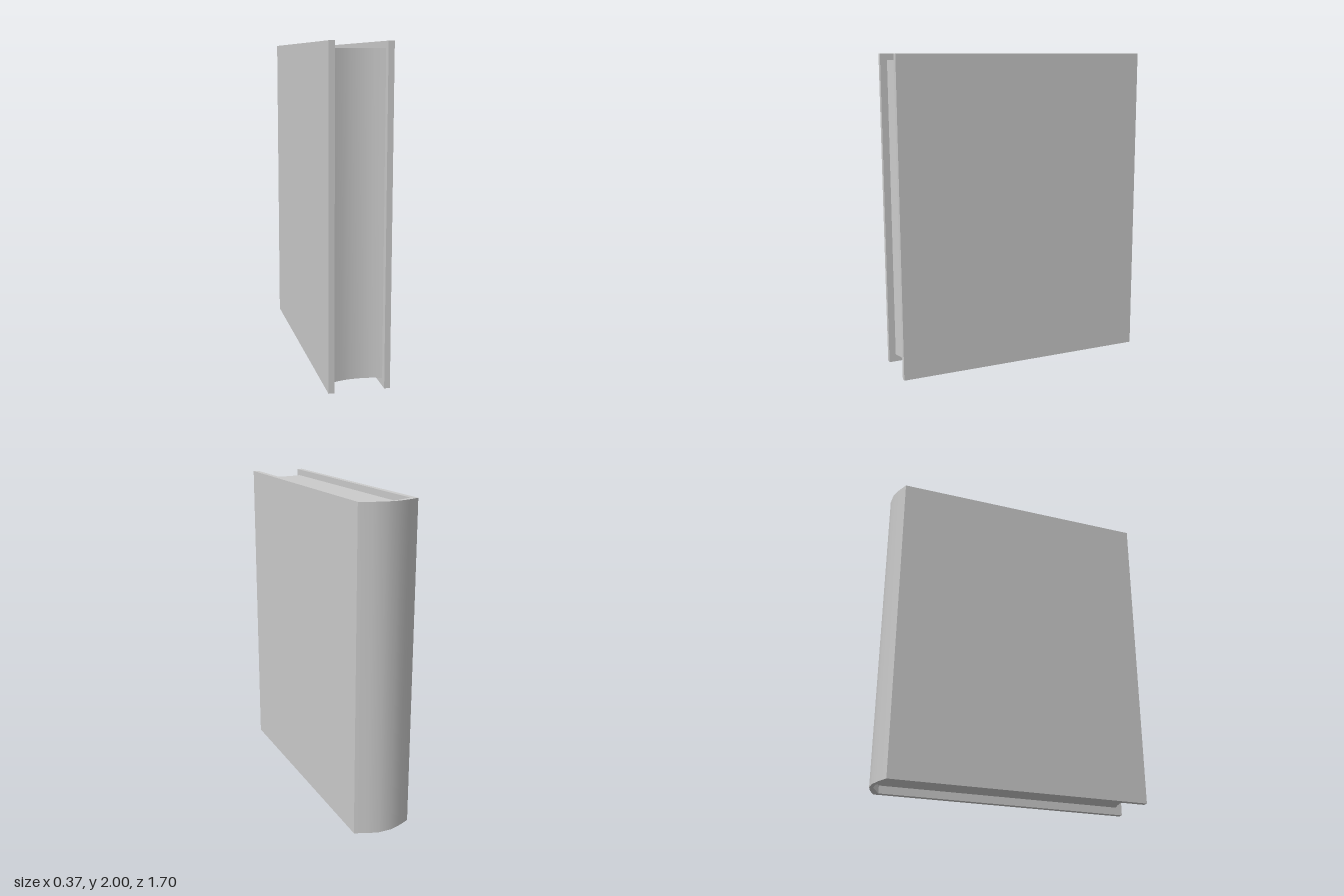
import * as THREE from 'three';
import { toCreasedNormals } from 'three/addons/utils/BufferGeometryUtils.js';

const material = new THREE.MeshStandardMaterial({ color: 0xcccccc });

// Half outlines as [x, z], mirrored across x = 0
const mirror = (pts) => pts.map(([x, z]) => [-x, z]).reverse();

// Extrude an [x, z] plan upwards from y0 to y1, smoothing shallow bends
function slab(name, plan, y0, y1) {
  const shape = new THREE.Shape(plan.map(([x, z]) => new THREE.Vector2(x, -z)));
  const geo = new THREE.ExtrudeGeometry(shape, { depth: y1 - y0, bevelEnabled: false });
  geo.rotateX(-Math.PI / 2).translate(0, y0, 0);
  const mesh = new THREE.Mesh(toCreasedNormals(geo, 0.6), material);
  mesh.name = name;
  return mesh;
}

export function createModel() {
  const book = new THREE.Group();
  book.name = 'book';

  const outerSpine = [[0.185, -0.797], [0.11, -0.83], [0.04, -0.85]];
  const innerSpine = [[0.15, -0.773], [0.035, -0.828]];
  const foreEdge = [[0.15, 0.807], [0.09, 0.79], [0.035, 0.782]];

  // Cover: two boards and a rounded spine in one U-shaped plan
  const outside = [[0.185, 0.85], ...outerSpine];
  const inside = [[0.15, 0.85], ...innerSpine];
  const cover = [...outside, ...mirror(outside), ...inside.map(([x, z]) => [-x, z]), ...[...inside].reverse()];
  book.add(slab('cover', cover, 0, 2));

  // Page block: rounded back, hollow fore edge, set in from top and bottom
  const pages = [...innerSpine, ...mirror(innerSpine), ...foreEdge.map(([x, z]) => [-x, z]), ...[...foreEdge].reverse()];
  book.add(slab('pages', pages, 0.048, 1.96));

  return book;
}
